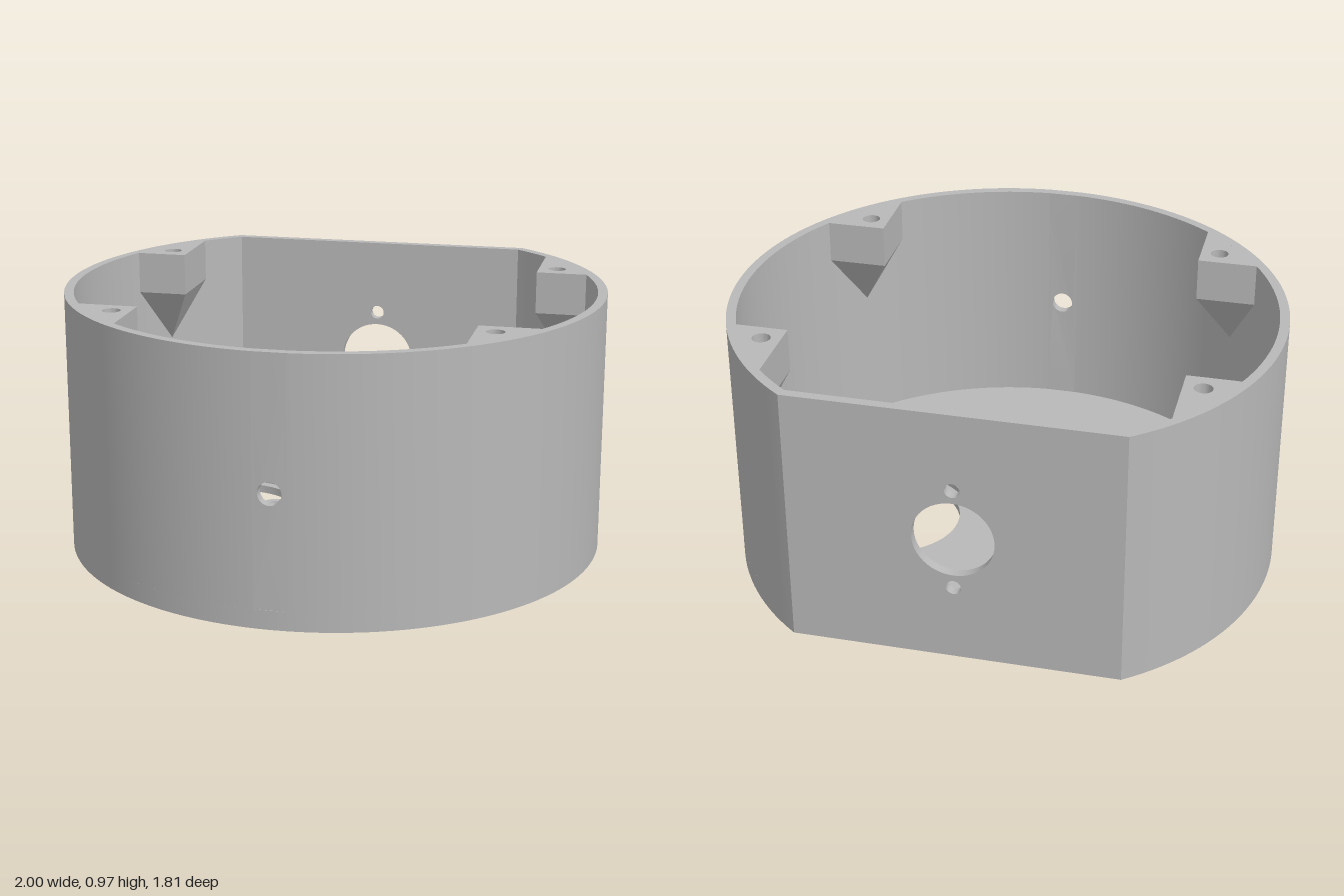
import * as THREE from 'three';
import { toCreasedNormals } from 'three/addons/utils/BufferGeometryUtils.js';
import { ConvexGeometry } from 'three/addons/geometries/ConvexGeometry.js';

// Plan shapes are drawn in (x, -z); the round body is centred at z = -0.095
const CZ = 0.095, R = 1, RI = 0.965, TOP = 0.97, FLOOR = 0.07;
const BACK = 0.905, BACK_IN = 0.87, GAP = 0.06;

const V = (x, y) => new THREE.Vector2(x, y);

function arc(cx, cy, r, a0, a1, n) {
  return Array.from({ length: n + 1 }, (_, i) => {
    const a = a0 + (a1 - a0) * i / n;
    return V(cx + r * Math.cos(a), cy + r * Math.sin(a));
  });
}

const flip = (points, side) => points.map(p => V(p.x * side, p.y));

function circle(x, y, r, n = 32) {
  return new THREE.Path(arc(x, y, r, 0, Math.PI * 2, n).slice(0, -1));
}

function extrude(points, holes, depth) {
  const shape = new THREE.Shape(points);
  shape.holes.push(...holes);
  return new THREE.ExtrudeGeometry(shape, { depth, bevelEnabled: false });
}

// Stands a plan shape up between two heights
function slab(points, holes, y0, y1) {
  const g = extrude(points, holes, y1 - y0);
  return g.rotateX(-Math.PI / 2).translate(0, y0, 0);
}

export function createModel() {
  const group = new THREE.Group();
  const grey = new THREE.MeshStandardMaterial({ color: 0xb8b8b8 });
  grey.name = 'grey plastic';

  function add(name, geometry) {
    const mesh = new THREE.Mesh(toCreasedNormals(geometry, 0.5), grey);
    mesh.name = name;
    group.add(mesh);
  }

  const sides = [1, -1];
  const aOut = Math.asin((BACK - CZ) / R), aIn = Math.asin((BACK_IN - CZ) / RI);
  const xIn = RI * Math.cos(aIn);
  const outline = arc(0, CZ, R, aOut - 2 * Math.PI + (Math.PI - 2 * aOut) + 2 * aOut - Math.PI + (Math.PI - 2 * aOut), aOut, 120);

  // Floor in three layers: underside recesses, openings, inner seats
  const slot = new THREE.Path([V(-0.63, 0.56), V(0.63, 0.56), V(0.63, 0.71), V(-0.63, 0.71)]);
  const seat = side => {
    const a = Math.asin(0.14 / 0.285);
    const pts = arc(0.43, 0.17, 0.285, Math.PI + a, 3 * Math.PI - a, 48);
    return new THREE.Path(flip([...pts, V(0.115, 0.31), V(0.115, 0.03)], side));
  };
  add('floorUnderside', slab(outline, [slot, ...sides.map(s => circle(s * 0.43, 0.17, 0.36, 64))], 0, 0.02));
  add('floorPlate', slab(outline, sides.map(s => circle(s * 0.43, 0.17, 0.25, 64)), 0.02, 0.05));
  add('floorSeats', slab(outline, sides.map(seat), 0.05, FLOOR));
  add('floorStrip', new THREE.BoxGeometry(0.23, 0.03, BACK_IN - 0.2)
    .translate(0, FLOOR + 0.015, -(BACK_IN + 0.2) / 2));

  // Curved side walls
  const front = -Math.PI / 2 + GAP;
  const wall = [
    ...arc(0, CZ, R, front, aOut, 60), V(xIn, BACK),
    ...arc(0, CZ, RI, aIn, front, 60),
  ];
  for (const s of sides) add(s > 0 ? 'leftWall' : 'rightWall', slab(flip(wall, s), [], FLOOR, TOP));

  // Flat back wall with a round port and two screw holes
  const rect = w => [V(-w, FLOOR), V(w, FLOOR), V(w, TOP), V(-w, TOP)];
  add('backWall', extrude(rect(xIn),
    [circle(0, 0.485, 0.145, 48), circle(0, 0.68, 0.027, 24), circle(0, 0.29, 0.027, 24)],
    BACK - BACK_IN).translate(0, 0, -BACK));

  // Front wall panel with a cable hole, bent to the body radius
  const panel = extrude(rect(GAP), [circle(0, 0.485, 0.042)], R - RI);
  const pos = panel.attributes.position;
  for (let i = 0; i < pos.count; i++) {
    const a = pos.getX(i), r = RI + pos.getZ(i);
    pos.setXYZ(i, r * Math.sin(a), pos.getY(i), r * Math.cos(a) - CZ);
  }
  add('frontWall', panel);

  // Lid screw blocks: a straight top tapering to a point on the wall
  const blocks = [
    { name: 'rearScrewBlock', x: 0.70, y: 0.47, hole: [0.77, 0.545] },
    { name: 'frontScrewBlock', x: 0.61, y: -0.40, hole: [0.68, -0.475] },
  ];
  const blockBase = 0.81, tipY = 0.59;
  for (const b of blocks) for (const s of sides) {
    const dy = b.y - CZ;
    const aSide = Math.asin(dy / RI), aEnd = Math.sign(dy) * Math.acos(b.x / RI);
    const pts = flip([V(b.x, b.y), ...arc(0, CZ, RI, aSide, aEnd, 10)], s);
    add(b.name, slab(pts, [circle(s * b.hole[0], b.hole[1], 0.033, 24)], blockBase, TOP));
    const mid = (aSide + aEnd) / 2;
    const tip = new THREE.Vector3(s * RI * Math.cos(mid), tipY, -CZ - RI * Math.sin(mid));
    add(b.name + 'Taper', new ConvexGeometry([...pts.map(p => new THREE.Vector3(p.x, blockBase, -p.y)), tip]));
  }

  // Hollow screw posts beside the floor openings
  for (const [x, y] of [[0.185, -0.10], [0.68, 0.435]]) for (const s of sides) {
    const ring = arc(s * x, y, 0.06, 0, Math.PI * 2, 32).slice(0, -1);
    add('screwPost', slab(ring, [circle(s * x, y, 0.033, 24)], FLOOR, 0.16));
  }

  return group;
}
